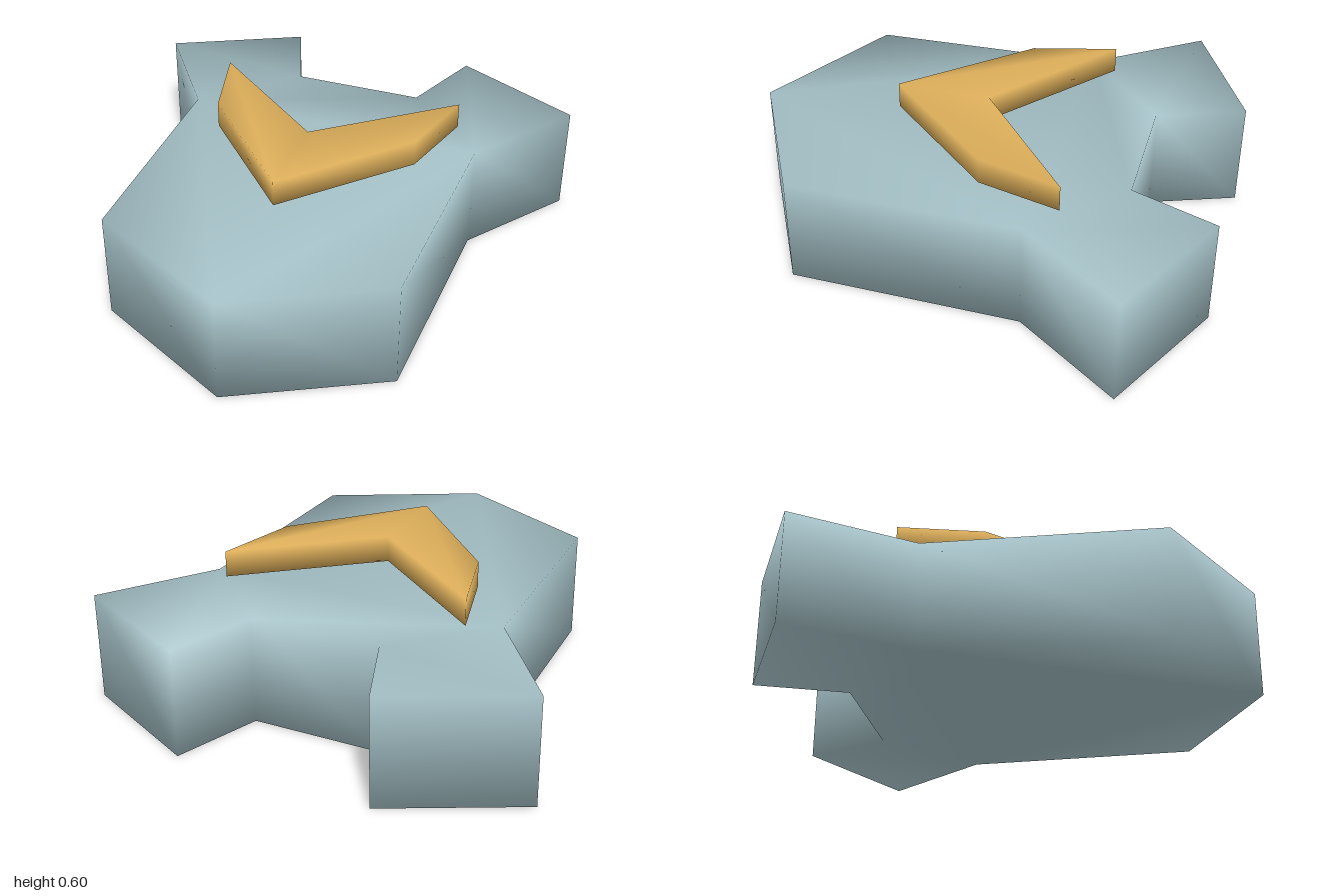
import * as THREE from 'three';
import { mergeVertices } from 'three/addons/utils/BufferGeometryUtils.js';

// Mirrors a half outline of [x, z] points (starting at the front tip) and
// extrudes it upwards as one smooth-shaded slab with shared vertices.
function smoothSlab(half, bottom, top) {
  const mirrored = half.filter(([x]) => x > 0).map(([x, z]) => [-x, z]).reverse();
  const points = [...half, ...mirrored].map(([x, z]) => new THREE.Vector2(x, -z));
  const slab = new THREE.ExtrudeGeometry(new THREE.Shape(points), {
    depth: top - bottom,
    bevelEnabled: false,
  });
  slab.rotateX(-Math.PI / 2);
  slab.translate(0, bottom, 0);
  slab.deleteAttribute('normal');
  slab.deleteAttribute('uv');
  slab.clearGroups();
  const merged = mergeVertices(slab, 1e-4);
  merged.computeVertexNormals();
  return merged;
}

export function createModel() {
  const group = new THREE.Group();
  group.name = 'chevronBadge';

  const paleBlue = new THREE.MeshStandardMaterial({ color: 0xa3bfc5 });
  paleBlue.name = 'pale blue';
  const gold = new THREE.MeshStandardMaterial({ color: 0xdcae5a });
  gold.name = 'gold';

  // Plate: pointed front, straight sides, two flared wings at the back
  const plate = new THREE.Mesh(
    smoothSlab([[0, 1], [0.61, 0.68], [0.635, -0.29], [0.95, -0.73], [0.41, -1], [0.275, -0.64]], 0, 0.457),
    paleBlue,
  );
  plate.name = 'plate';

  // Chevron floating just above the plate
  const chevron = new THREE.Mesh(
    smoothSlab([[0, 0.405], [0.435, -0.065], [0.525, -0.41], [0, 0.015]], 0.493, 0.602),
    gold,
  );
  // The notch lies on the centre line, so its two arms meet there
  chevron.geometry.dispose();
  chevron.geometry = chevronGeometry();
  chevron.name = 'chevron';

  group.add(plate, chevron);
  return group;
}

// V shape with its inner notch on the centre line
function chevronGeometry() {
  return smoothSlab([[0, 0.405], [0.435, -0.065], [0.525, -0.41], [0, 0.015]], 0.493, 0.602);
}
